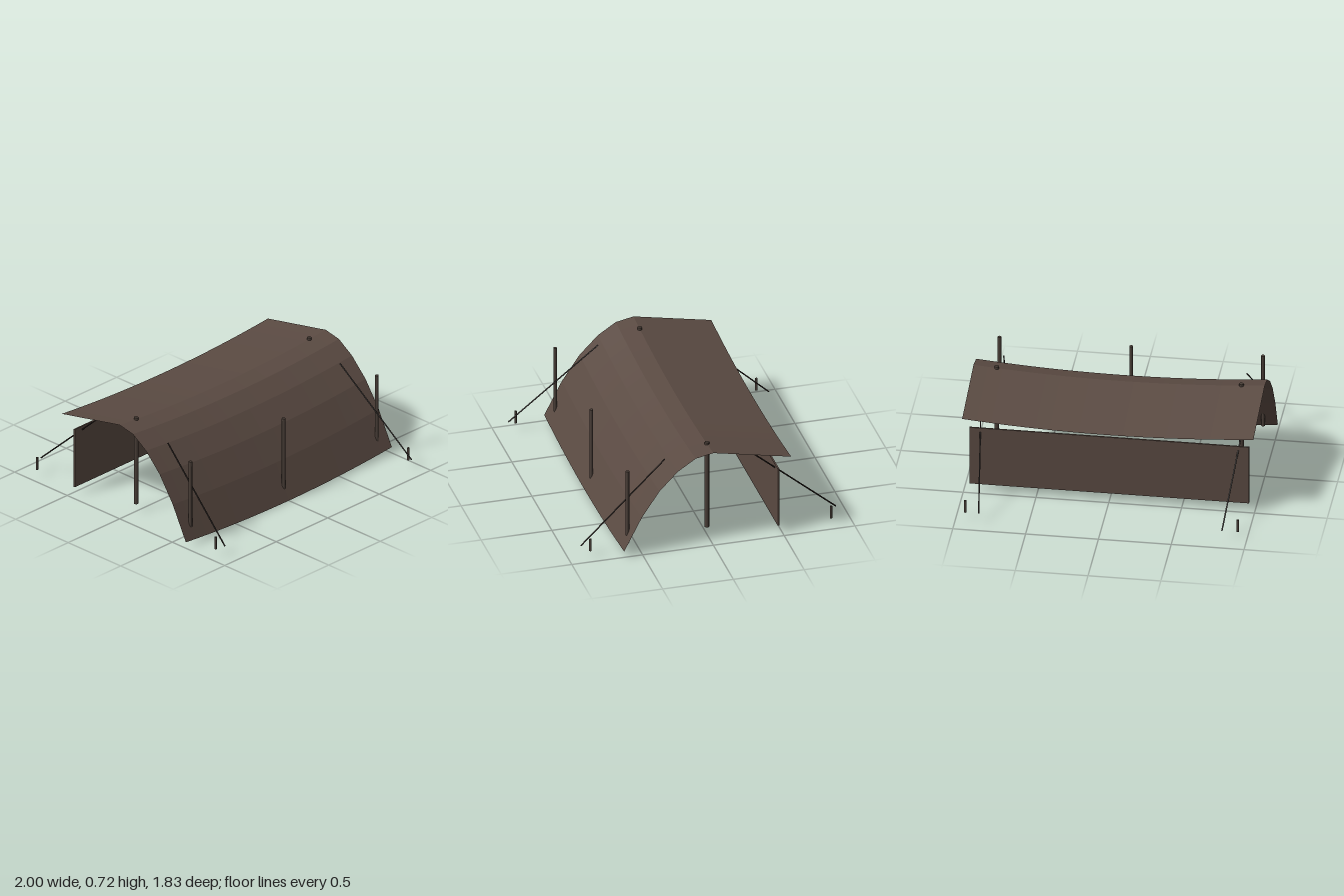
import * as THREE from 'three';

const canopyMat = new THREE.MeshStandardMaterial({ color: 0x5a4a42, flatShading: true, side: THREE.DoubleSide });
canopyMat.name = 'brown canvas';
const poleMat = new THREE.MeshStandardMaterial({ color: 0x4a3f38 });
poleMat.name = 'dark wood';
const ropeMat = new THREE.MeshStandardMaterial({ color: 0x2e2622 });
ropeMat.name = 'dark rope';

// Canopy cross-section from back edge over the ridge to the front hem: [z, y] at mid-span
const PROFILE = [[-0.55, 0.56], [0, 0.67], [0.125, 0.645], [0.25, 0.563], [0.38, 0.43], [0.505, 0.245], [0.63, 0]];
const SAG = 0.045;

function canopy() {
  const columns = 20;
  const geo = new THREE.PlaneGeometry(2, 1, columns, PROFILE.length - 1);
  const pos = geo.attributes.position;
  for (let i = 0; i < pos.count; i++) {
    const [z, y] = PROFILE[Math.floor(i / (columns + 1))];
    const x = pos.getX(i);
    pos.setXYZ(i, x, y + SAG * x * x, z);
  }
  geo.computeVertexNormals();
  const mesh = new THREE.Mesh(geo, canopyMat);
  mesh.name = 'canopy';
  return mesh;
}

// Round rod between two points
function rod(name, from, to, radius, material, sides = 8) {
  const a = new THREE.Vector3(...from), b = new THREE.Vector3(...to);
  const dir = b.clone().sub(a);
  const mesh = new THREE.Mesh(new THREE.CylinderGeometry(radius, radius, dir.length(), sides), material);
  mesh.position.copy(a).add(b).multiplyScalar(0.5);
  mesh.quaternion.setFromUnitVectors(new THREE.Vector3(0, 1, 0), dir.normalize());
  mesh.name = name;
  return mesh;
}

export function createModel() {
  const group = new THREE.Group();
  group.name = 'shelter';
  group.add(canopy());

  // Hanging wall under the back flap
  const wall = new THREE.Mesh(new THREE.BoxGeometry(1.92, 0.44, 0.011), canopyMat);
  wall.position.set(0, 0.28, -0.472);
  wall.name = 'backWall';
  group.add(wall);

  // Front poles
  for (const x of [-0.905, 0, 0.905]) {
    group.add(rod('frontPole', [x, 0.06, 0.58], [x, 0.61, 0.58], 0.013, poleMat));
  }

  for (const s of [-1, 1]) {
    group.add(rod('ridgePole', [s * 0.84, 0.06, 0], [s * 0.84, 0.717, 0], 0.016, poleMat));
    // Guy ropes slant outward at the front and inward at the back
    group.add(rod('frontRope', [s * 0.835, 0.625, 0.297], [s * 0.906, 0.082, 0.91], 0.005, ropeMat, 6));
    group.add(rod('backRope', [s * 0.906, 0.625, -0.297], [s * 0.835, 0.082, -0.91], 0.005, ropeMat, 6));
    for (const z of [-0.85, 0.85]) {
      group.add(rod('stake', [s * 0.935, 0.05, z], [s * 0.935, 0.142, z], 0.009, poleMat, 6));
    }
  }
  return group;
}
